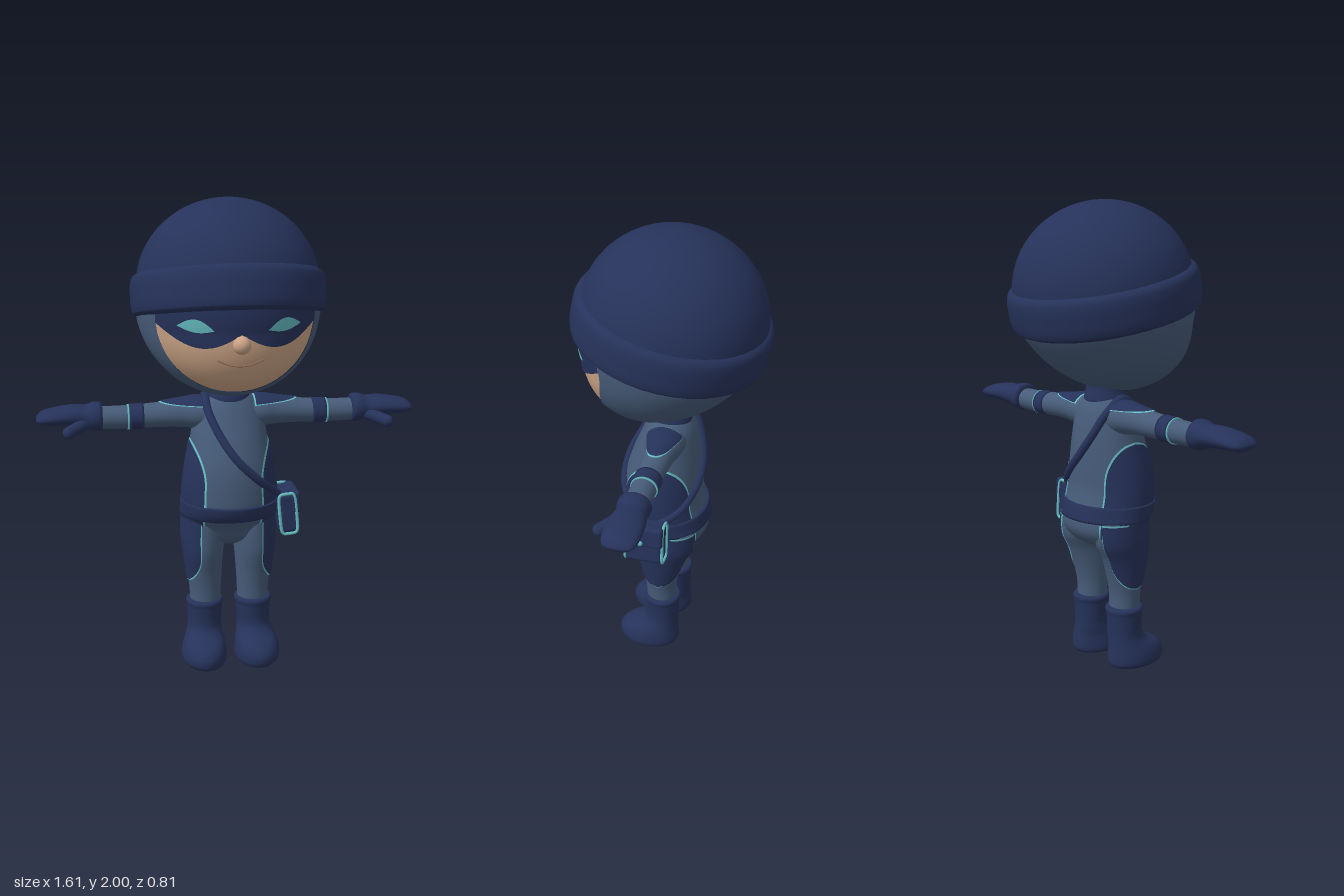
import * as THREE from 'three';
import { mergeVertices } from 'three/addons/utils/BufferGeometryUtils.js';
import { RoundedBoxGeometry } from 'three/addons/geometries/RoundedBoxGeometry.js';

const { sin, cos, sqrt, abs, max, min, PI } = Math;
const V = (x, y, z) => new THREE.Vector3(x, y, z);

function material(name, color) {
  const m = new THREE.MeshStandardMaterial({ color });
  m.name = name;
  return m;
}

// Smooth surface from a rule p(u, v), u and v in 0..1
function grid(nu, nv, p) {
  const pos = [], index = [];
  for (let i = 0; i <= nu; i++) for (let j = 0; j <= nv; j++) pos.push(...p(i / nu, j / nv));
  for (let i = 0; i < nu; i++) for (let j = 0; j < nv; j++) {
    const a = i * (nv + 1) + j, b = a + nv + 1;
    index.push(a, b, b + 1, a, b + 1, a + 1);
  }
  let g = new THREE.BufferGeometry();
  g.setAttribute('position', new THREE.Float32BufferAttribute(pos, 3));
  g.setIndex(index);
  g = mergeVertices(g, 1e-5);
  g.computeVertexNormals();
  return g;
}

// Cubic interpolation through cross-sections [t, centre1, centre2, radius1, radius2]
function section(rows, t) {
  const n = rows.length - 1;
  t = min(max(t, rows[0][0]), rows[n][0]);
  let i = 0;
  while (i < n - 1 && t > rows[i + 1][0]) i++;
  const a = rows[i], b = rows[i + 1], p = rows[max(i - 1, 0)], q = rows[min(i + 2, n)];
  const h = b[0] - a[0], s = (t - a[0]) / h;
  return a.map((_, k) => {
    const m0 = (b[k] - p[k]) / (b[0] - p[0]) * h, m1 = (q[k] - a[k]) / (q[0] - a[0]) * h;
    const s2 = s * s, s3 = s2 * s;
    return (2 * s3 - 3 * s2 + 1) * a[k] + (s3 - 2 * s2 + s) * m0 + (3 * s2 - 2 * s3) * b[k] + (s3 - s2) * m1;
  });
}

function ringPoint(rows, axis, t, a, off = 0, k = 1) {
  const [, c1, c2, r1, r2] = section(rows, t);
  const p = c1 + (r1 + off) * k * cos(a), q = (r2 + off) * k * sin(a);
  return axis === 'y' ? [p, t, c2 + q] : [t, p, c2 - q];
}

// Closed body through the cross-sections, between t0 and t1
function loft(rows, axis, off = 0, t0 = rows[0][0], t1 = rows[rows.length - 1][0], n = 40) {
  return grid(n + 2, 40, (u, v) => {
    const i = Math.round(u * (n + 2));
    const t = t0 + (t1 - t0) * min(max((i - 1) / n, 0), 1);
    return ringPoint(rows, axis, t, v === 1 ? 0 : v * 2 * PI, off, i === 0 || i === n + 2 ? 0 : 1);
  });
}

// Thin plate following a lofted body, with a half-angle that varies along it
const panel = (rows, axis, t0, t1, angle, off, extra = 0) => grid(40, 24, (u, v) =>
  ringPoint(rows, axis, t0 + (t1 - t0) * u, (v * 2 - 1) * (angle(u) + extra), off));

function mirrored(geo) {
  const g = geo.clone().scale(-1, 1, 1), ix = g.index.array;
  for (let i = 0; i < ix.length; i += 3) [ix[i], ix[i + 1]] = [ix[i + 1], ix[i]];
  return g;
}

// Head surface: an ellipsoid whose chin is pushed forward
const HY = 1.58, HX = 0.38, HR = 0.37;
const chin = y => 0.28 * max(0, 1.5 - y);
function headPoint(th, ph, k) {
  const y = HY + HR * k * sin(th) * sin(ph);
  return [HX * k * sin(th) * cos(ph), y, HR * k * cos(th) + chin(y)];
}
const faceZ = (x, y, k) => HR * k * sqrt(max(0, 1 - (x / HX / k) ** 2 - ((y - HY) / HR / k) ** 2)) + chin(y);
const faceEdge = ph => 0.967 + 0.13 * max(0, -sin(ph));
const facePatch = (x0, x1, low, high, k) => grid(48, 12, (u, v) => {
  const x = x0 + (x1 - x0) * u, a = low(x, u), y = a + (high(x, u) - a) * v;
  return [x, y, faceZ(x, y, k)];
});

const TORSO = [
  [0.53, 0, 0, 0.09, 0.06], [0.56, 0, -0.005, 0.165, 0.11], [0.62, 0, -0.012, 0.2, 0.15], [0.7, 0, 0.02, 0.203, 0.178],
  [0.8, 0, 0.035, 0.2, 0.172], [0.9, 0, 0.032, 0.186, 0.166], [1.0, 0, 0.02, 0.166, 0.148],
  [1.08, 0, 0.01, 0.152, 0.125], [1.14, 0, 0.005, 0.132, 0.105], [1.18, 0, 0.005, 0.1, 0.085], [1.2, 0, 0.005, 0.07, 0.07]];
const LEG = [
  [0.24, 0.105, 0.02, 0.066, 0.066], [0.33, 0.106, 0.022, 0.07, 0.068], [0.4, 0.109, 0.02, 0.077, 0.08],
  [0.5, 0.111, 0.015, 0.087, 0.107], [0.57, 0.109, 0, 0.096, 0.126], [0.67, 0.108, -0.005, 0.095, 0.13]];
const BOOT = [
  [0, 0.115, 0.077, 0.09, 0.13], [0.015, 0.118, 0.077, 0.099, 0.138], [0.05, 0.118, 0.077, 0.098, 0.138],
  [0.085, 0.116, 0.065, 0.09, 0.123], [0.115, 0.112, 0.035, 0.08, 0.092], [0.15, 0.11, 0.02, 0.074, 0.077],
  [0.24, 0.108, 0.018, 0.078, 0.08], [0.26, 0.108, 0.018, 0.083, 0.084], [0.272, 0.108, 0.018, 0.075, 0.076]];
const ARM = [
  [0.06, 1.105, 0, 0.07, 0.085], [0.14, 1.11, 0, 0.069, 0.08], [0.2, 1.11, 0, 0.061, 0.066],
  [0.3, 1.105, 0, 0.053, 0.056], [0.42, 1.1, 0, 0.05, 0.052], [0.57, 1.1, 0, 0.047, 0.05]];
const GLOVE = [
  [0.532, 1.105, 0, 0.052, 0.058], [0.54, 1.107, 0, 0.06, 0.067], [0.57, 1.108, 0, 0.06, 0.067],
  [0.6, 1.11, -0.004, 0.048, 0.063], [0.66, 1.115, -0.005, 0.043, 0.072], [0.73, 1.112, -0.005, 0.036, 0.074],
  [0.78, 1.107, -0.005, 0.028, 0.066], [0.8, 1.104, -0.005, 0.016, 0.05], [0.806, 1.104, -0.005, 0.006, 0.03]];
const BRIM = [
  [-0.09, 0, 0, 0.374, 0.374], [-0.075, 0, 0, 0.397, 0.397], [0, 0, 0, 0.405, 0.405],
  [0.06, 0, 0, 0.4, 0.4], [0.082, 0, 0, 0.385, 0.385], [0.09, 0, 0, 0.365, 0.365]];
const COLLAR = [
  [1.16, 0, 0.005, 0.092, 0.09], [1.18, 0, 0.005, 0.093, 0.09], [1.22, 0, 0.005, 0.083, 0.083], [1.25, 0, 0.005, 0.08, 0.08]];

export function createModel() {
  const root = new THREE.Group();
  root.name = 'maskedFigure';
  const navy = material('navy', 0x26325a), slate = material('slate', 0x475c79), skin = material('skin', 0xcba486);
  const teal = material('teal', 0x66bcc2), lip = material('lipLine', 0x96705a);

  const add = (name, geo, mat, parent = root) => {
    const m = new THREE.Mesh(geo, mat);
    m.name = name;
    parent.add(m);
    return m;
  };
  const pair = (name, geo, mat) => {
    add(name + 'Left', geo, mat);
    add(name + 'Right', mirrored(geo), mat);
  };
  // Navy plate with teal piping around it
  const pipedPair = (name, rows, axis, t0, t1, angle) => {
    pair(name + 'Piping', panel(rows, axis, t0 - 0.006, t1 + 0.006, angle, 0.003, 0.04), teal);
    pair(name, panel(rows, axis, t0, t1, angle, 0.006), navy);
  };

  // Head
  add('face', grid(24, 64, (u, v) => headPoint(u * (faceEdge(v * 2 * PI) + 0.03), v * 2 * PI, 1)), skin);
  add('hood', grid(40, 64, (u, v) => {
    const e = faceEdge(v * 2 * PI);
    return headPoint(e + (PI - e) * u, v * 2 * PI, 1.015);
  }), slate);
  add('mask', facePatch(-0.32, 0.32, x => {
    const t = abs(x) / 0.32;
    return 1.5 - 0.062 * sin(PI * t) + 0.03 * t * t;
  }, () => 1.64, 1.018), navy);
  pair('eye', facePatch(0.105, 0.245, (x, u) => 1.515 + 0.016 * u - 0.016 * sin(PI * u),
    (x, u) => 1.515 + 0.016 * u + 0.036 * sin(PI * u), 1.028), teal);
  const nose = add('nose', new THREE.SphereGeometry(0.036, 24, 16), skin);
  nose.position.set(0, 1.46, 0.371);
  const smile = [-2, -1, 0, 1, 2].map(i => {
    const x = i * 0.045, y = 1.372 + 0.006 * i * i;
    return V(x, y, faceZ(x, y, 1));
  });
  add('mouth', new THREE.TubeGeometry(new THREE.CatmullRomCurve3(smile), 24, 0.0035, 6), lip);

  // Beanie, tipped up at the front
  const hat = new THREE.Group();
  hat.name = 'beanie';
  hat.position.set(0, 1.61, 0);
  hat.rotation.x = -0.21;
  root.add(hat);
  const dome = add('beanieDome', new THREE.SphereGeometry(0.38, 48, 24, 0, 2 * PI, 0, PI * 0.53), navy, hat);
  dome.scale.y = 0.36 / 0.38;
  dome.position.y = 0.03;
  add('beanieBrim', loft(BRIM, 'y'), navy, hat);

  // Body
  add('torso', loft(TORSO, 'y'), slate);
  add('collar', loft(COLLAR, 'y'), navy);
  add('belt', loft(TORSO, 'y', 0.009, 0.668, 0.738, 8), navy);
  pair('leg', loft(LEG, 'y'), slate);
  pair('boot', loft(BOOT, 'y'), navy);
  pipedPair('sidePanel', TORSO, 'y', 0.6, 1.0, u => 0.92 * sqrt(1 - max(0, (u - 0.55) / 0.45) ** 2));
  pipedPair('legPanel', LEG, 'y', 0.365, 0.66, u => 1.3 * sqrt(1 - max(0, (0.4 - u) / 0.4) ** 2));

  // Arms and gloves
  pair('arm', loft(ARM, 'x'), slate);
  pipedPair('shoulderPatch', ARM, 'x', 0.11, 0.29, u => 1.0 * sqrt(max(0, 1 - u * u)));
  pair('armBand', loft(ARM, 'x', 0.004, 0.36, 0.42, 6), navy);
  pair('armBandPiping', loft(ARM, 'x', 0.004, 0.42, 0.428, 2), teal);
  pair('glove', loft(GLOVE, 'x'), navy);
  const from = V(0.6, 1.087, 0.035), to = V(0.672, 1.066, 0.103), along = to.clone().sub(from);
  const thumb = new THREE.CapsuleGeometry(0.026, along.length(), 8, 16);
  thumb.applyQuaternion(new THREE.Quaternion().setFromUnitVectors(V(0, 1, 0), along.normalize()));
  thumb.translate(...from.add(to).multiplyScalar(0.5).toArray());
  pair('thumb', thumb, navy);

  // Strap looping over the right shoulder to the bag on the left hip
  const onTorso = (x, y, side) => {
    const [, , cz, rx, rz] = section(TORSO, y);
    return V(x, y, cz + side * (rz * sqrt(max(0, 1 - (x / rx) ** 2)) + 0.004));
  };
  const path = [[-0.095, 1.13], [-0.055, 1.04], [0.01, 0.945], [0.1, 0.855], [0.175, 0.785]];
  const loop = [V(-0.1, 1.185, 0.01), ...path.map(p => onTorso(...p, 1)), V(0.222, 0.74, 0.055),
    ...path.map(p => onTorso(...p, -1)).reverse()];
  add('strap', new THREE.TubeGeometry(new THREE.CatmullRomCurve3(loop, true), 120, 0.018, 10, true), navy);

  // Hip bag
  const bag = new THREE.Group();
  bag.name = 'hipBag';
  bag.position.set(0.245, 0.68, 0.053);
  bag.rotation.z = 0.1;
  root.add(bag);
  add('bagBody', new RoundedBoxGeometry(0.085, 0.18, 0.165, 4, 0.02), navy, bag);
  add('bagFlap', new RoundedBoxGeometry(0.045, 0.095, 0.172, 4, 0.014), navy, bag).position.set(0.034, 0.046, 0);
  const trim = [[1, 0.7], [0.7, 1], [-0.7, 1], [-1, 0.7], [-1, -0.7], [-0.7, -1], [0.7, -1], [1, -0.7]]
    .map(([x, y]) => V(x * 0.036, y * 0.088, 0));
  for (const s of [1, -1]) {
    const curve = new THREE.CatmullRomCurve3(trim, true, 'catmullrom', 0.3);
    add(s > 0 ? 'bagTrimFront' : 'bagTrimBack', new THREE.TubeGeometry(curve, 64, 0.007, 8, true), teal, bag)
      .position.set(-0.004, 0, s * 0.082);
  }
  const clasp = add('bagClasp', new THREE.SphereGeometry(0.013, 16, 12), teal, bag);
  clasp.position.set(0.056, 0.018, 0.01);
  clasp.scale.x = 0.6;

  return root;
}
